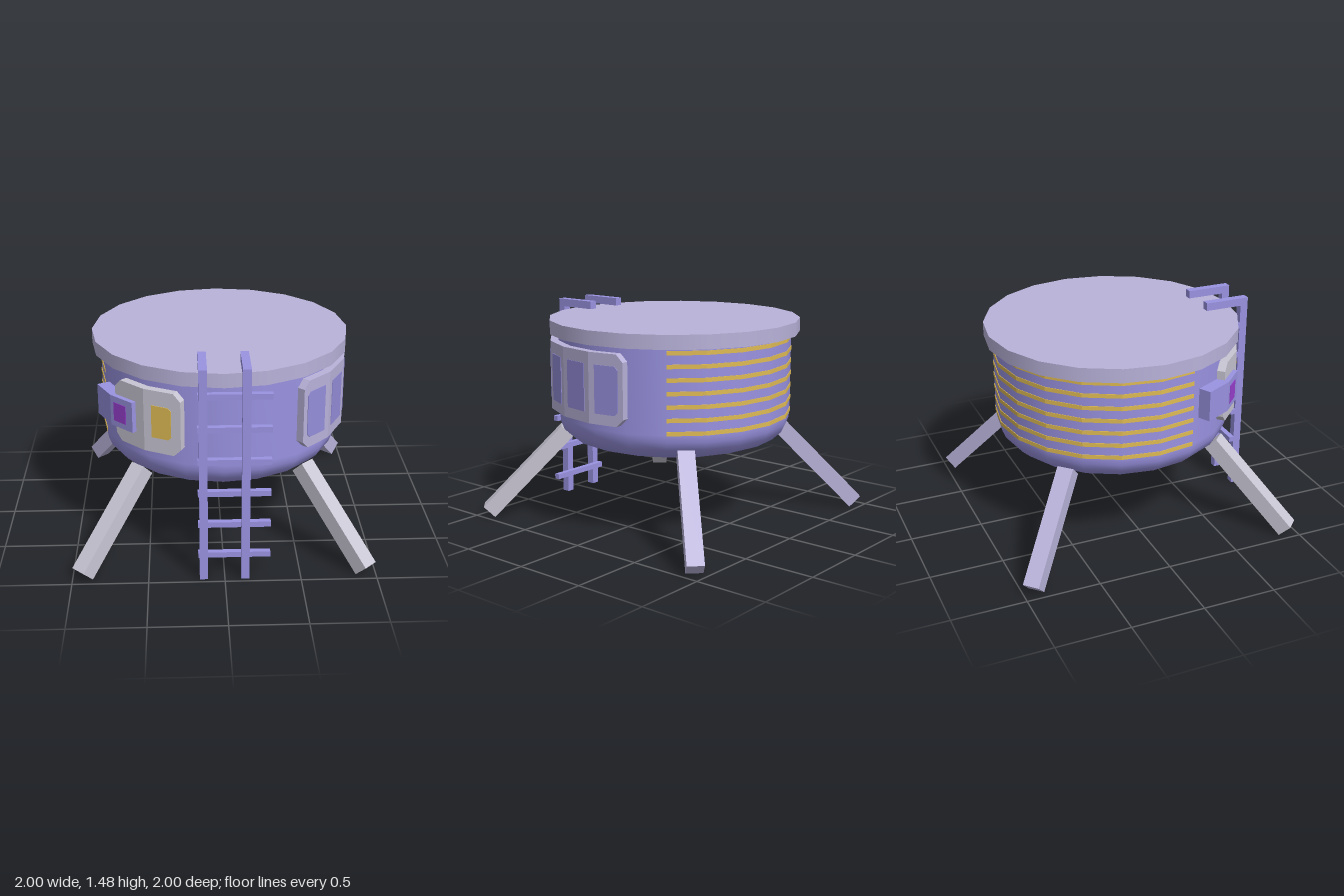
import * as THREE from 'three';

const RAD = Math.PI / 180;
const R = 0.814;                       // drum radius, 20 sides
const APO = R * Math.cos(9 * RAD);     // distance to the middle of a side
const HALF = R * Math.sin(9 * RAD);    // half the width of a side

const mat = (name, color) => {
  const m = new THREE.MeshStandardMaterial({ color });
  m.name = name;
  return m;
};

// Point on a drum side: a = side direction (from +x towards +z), u = along the side, d = outwards
const sidePoint = (a, u, d, y) => {
  const c = Math.cos(a * RAD), s = Math.sin(a * RAD);
  return [d * c - u * s, y, d * s + u * c];
};

// Plate that follows n drum sides, starting at side a0, between depths d0 and d1;
// c0 and c1 cut the corners at its two ends
function bentPlate({ a0, n = 1, u0 = -HALF, u1 = HALF, y0, y1, d0, d1, c0 = 0, c1 = 0 }) {
  const cols = [];
  const column = (a, ui, uo, cut) => cols.push([
    sidePoint(a, ui, d0, y0 + cut), sidePoint(a, uo, d1, y0 + cut),
    sidePoint(a, uo, d1, y1 - cut), sidePoint(a, ui, d0, y1 - cut),
  ]);
  const aEnd = a0 + 18 * (n - 1), t = Math.tan(9 * RAD);
  column(a0, u0, u0, c0);
  if (c0) column(a0, u0 + c0, u0 + c0, 0);
  for (let k = 0; k < n - 1; k++) column(a0 + 18 * k, d0 * t, d1 * t, 0);
  if (c1) column(aEnd, u1 - c1, u1 - c1, 0);
  column(aEnd, u1, u1, c1);

  const pos = [];
  const quad = (a, b, c, d) => pos.push(...a, ...b, ...c, ...a, ...c, ...d);
  for (let i = 0; i < cols.length - 1; i++) {
    for (let k = 0; k < 4; k++) {
      const m = (k + 1) % 4;
      quad(cols[i + 1][k], cols[i][k], cols[i][m], cols[i + 1][m]);
    }
  }
  const [ib, ob, ot, it] = cols[0];
  quad(ob, ib, it, ot);
  quad(...cols[cols.length - 1]);
  const g = new THREE.BufferGeometry();
  g.setAttribute('position', new THREE.Float32BufferAttribute(pos, 3));
  g.computeVertexNormals();
  return g;
}

export function createModel() {
  const model = new THREE.Group();
  model.name = 'habitatModule';
  const violet = mat('violet', 0x9a93e2);
  const lavender = mat('lavender', 0xb9b3da);
  const paleGrey = mat('paleGrey', 0xc9c6d4);
  const glass = mat('windowViolet', 0x958edb);
  const yellow = mat('yellow', 0xdfbb55);
  const magenta = mat('magenta', 0x9a3fd0);

  const add = (name, geometry, material, parent = model) => {
    const m = new THREE.Mesh(geometry, material);
    m.name = name;
    parent.add(m);
    return m;
  };
  const box = (name, x0, x1, y0, y1, z0, z1, material, parent) =>
    add(name, new THREE.BoxGeometry(x1 - x0, y1 - y0, z1 - z0), material, parent)
      .position.set((x0 + x1) / 2, (y0 + y1) / 2, (z0 + z1) / 2);

  // Drum with a rounded lower edge, and its lid
  const profile = [[0, 0.56], [0.6, 0.56], [0.655, 0.565], [0.725, 0.59], [0.785, 0.645], [0.808, 0.7], [R, 0.75], [R, 1.33]];
  add('drum', new THREE.LatheGeometry(profile.map(p => new THREE.Vector2(...p)), 20), violet);
  add('lid', new THREE.CylinderGeometry(0.873, 0.873, 0.095, 20), lavender).position.y = 1.3625;

  // Four splayed legs: the rear pair first, then the front pair
  for (let i = 0; i < 4; i++) {
    const leg = new THREE.Group();
    leg.name = i < 2 ? 'rearLeg' : 'frontLeg';
    const beam = add('legBeam', new THREE.BoxGeometry(0.803, 0.108, 0.112), i < 2 ? lavender : paleGrey, leg);
    beam.position.set(1.04, 0.3255, 0);
    beam.rotation.z = -45.8 * RAD;
    leg.rotation.y = (45 + 90 * i) * RAD;
    model.add(leg);
  }

  // Wide window panel on the left side with four windows
  const face = APO + 0.055;
  add('windowPanel', bentPlate({ a0: -9, n: 4, y0: 0.8, y1: 1.272, d0: APO - 0.01, d1: face, c0: 0.05, c1: 0.05 }), lavender);
  for (let i = 0; i < 4; i++) {
    add('window', bentPlate({
      a0: -9 + 18 * i, u0: -0.09, u1: 0.09, y0: 0.872, y1: 1.193, d0: face - 0.002, d1: face + 0.004,
      c0: i === 0 ? 0.025 : 0, c1: i === 3 ? 0.025 : 0,
    }), glass);
  }

  // Front panel with a yellow window
  add('frontPanel', bentPlate({ a0: 117, n: 2, y0: 0.82, y1: 1.25, d0: APO - 0.01, d1: face, c0: 0.05, c1: 0.05 }), paleGrey);
  add('frontWindow', bentPlate({
    a0: 117, u0: -0.06, u1: 0.08, y0: 0.925, y1: 1.147, d0: face - 0.002, d1: face + 0.004, c0: 0.02,
  }), yellow);

  // Raised box wrapped round the panel's edge, with a small magenta screen
  const boxFace = APO + 0.088;
  add('sideBox', bentPlate({ a0: 135, n: 2, u0: -0.063, u1: 0.067, y0: 0.93, y1: 1.14, d0: APO - 0.01, d1: boxFace }), violet);
  add('screen', bentPlate({
    a0: 135, u0: -0.004, u1: 0.109, y0: 0.97, y1: 1.098, d0: boxFace - 0.002, d1: boxFace + 0.004,
  }), magenta);

  // Seven stripes round the back
  for (let i = 0; i < 7; i++) {
    const y = 0.762 + 0.0872 * i;
    add('stripe', bentPlate({ a0: 171, n: 9, y0: y - 0.014, y1: y + 0.014, d0: APO - 0.002, d1: APO + 0.004 }), yellow);
  }

  // Ladder: hooked rails and six rungs
  const ladder = new THREE.Group();
  ladder.name = 'ladder';
  model.add(ladder);
  for (const x of [-0.138, 0.134]) {
    box('rail', x - 0.027, x + 0.027, 0, 1.475, 0.915, 0.97, violet, ladder);
    box('railHook', x - 0.027, x + 0.027, 1.42, 1.475, 0.65, 0.915, violet, ladder);
  }
  for (let i = 0; i < 6; i++) {
    const y = 0.15 + 0.2245 * i;
    box('rung', -0.173, 0.3, y - 0.019, y + 0.019, 0.876, 0.915, violet, ladder);
  }
  return model;
}
